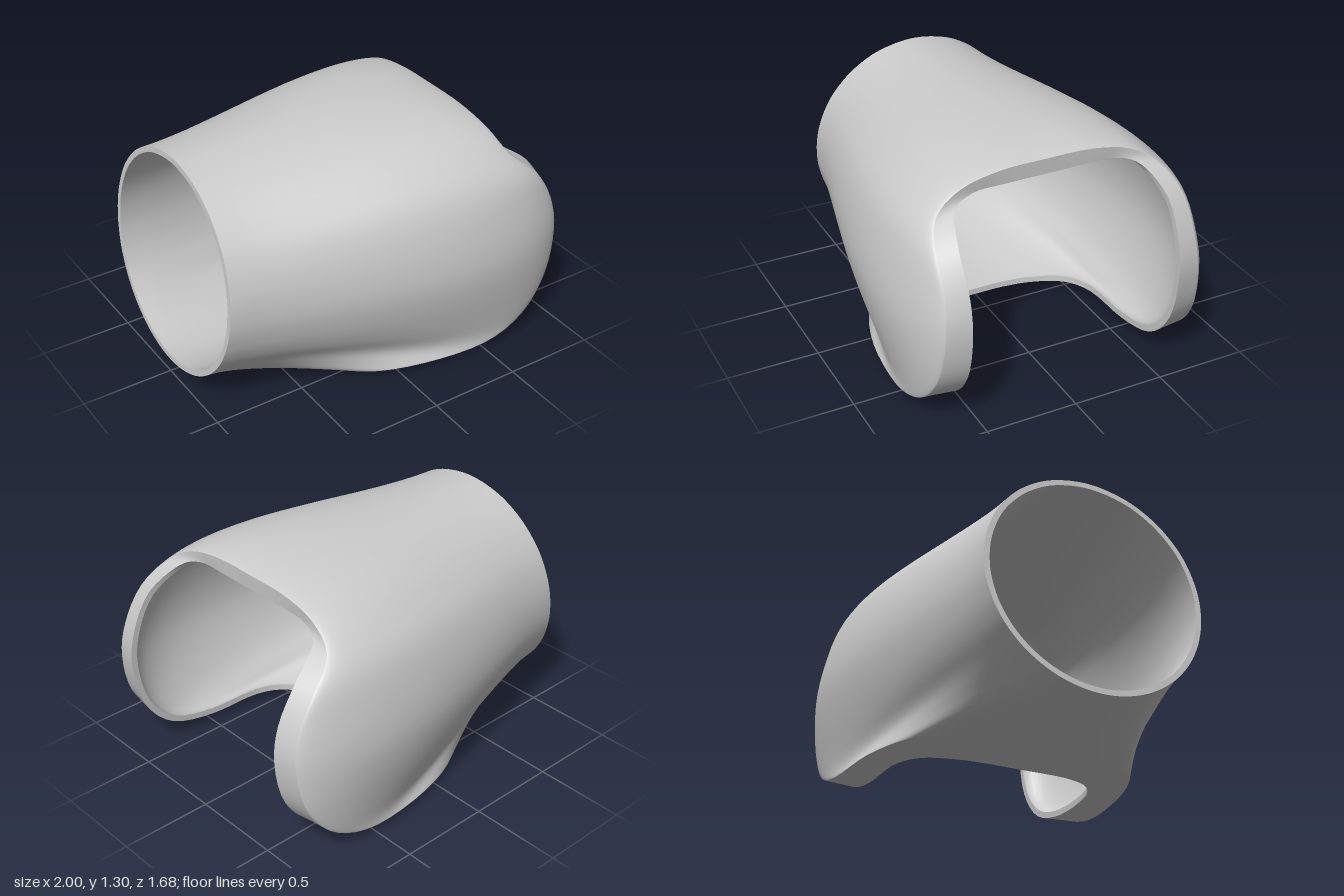
import * as THREE from 'three';

const V = (x, y, z) => new THREE.Vector3(x, y, z);
const AROUND = 112;
const rad = THREE.MathUtils.degToRad;

// Half outlines from top centre, down the +z side, to bottom centre
const rimOuterHalf = [
  [0.65, 1.23, 0], [0.65, 1.225, 0.25], [0.66, 1.18, 0.47], [0.70, 1.08, 0.62], [0.84, 0.95, 0.68],
  [0.945, 0.77, 0.69], [0.975, 0.57, 0.705], [0.92, 0.32, 0.725], [0.76, 0.13, 0.75], [0.5, 0.045, 0.765],
  [0.12, 0.045, 0.73], [-0.18, 0.045, 0.62], [-0.33, 0.04, 0.42], [-0.38, 0.035, 0.2], [-0.38, 0.035, 0]];
const rimInnerHalf = [
  [0.645, 1.145, 0], [0.645, 1.145, 0.22], [0.65, 1.14, 0.4], [0.70, 1.09, 0.52], [0.86, 0.97, 0.575],
  [0.97, 0.78, 0.575], [1, 0.57, 0.575], [0.94, 0.31, 0.575], [0.77, 0.12, 0.575], [0.5, 0.045, 0.575],
  [0.2, 0.045, 0.56], [0.03, 0.04, 0.48], [-0.08, 0.02, 0.33], [-0.13, 0.005, 0.17], [-0.14, 0, 0]];
// Direction in which the narrow lip runs inward from the rim
const lipAngle = [180, 180, 180, 200, 225, 205, 180, 150, 125, 95, 90, 90, 90, 90, 90];
const lipHalf = rimInnerHalf.map(([x, y, z], k) =>
  [x + 0.035 * Math.cos(rad(lipAngle[k])), y + 0.035 * Math.sin(rad(lipAngle[k])), z]);
// Per outline point: angle on the round cuff, swell of each wall, how late it flares and swells
const cuffAngle = [0, 20, 37, 52, 65, 80, 95, 108, 118, 127, 137, 148, 159, 170, 180];
const outerSwell = [0.4, 0.4, 0.4, 0.46, 0.7, 0.9, 1, 0.9, 0.65, 0.3, 0.15, 0.08, 0, 0, 0];
const innerSwell = [0.4, 0.4, 0.4, 0.45, 0.7, 0.9, 1, 0.95, 0.8, 0.55, 0.35, 0.2, 0.05, 0, 0];
const flareDelay = [1.3, 1.3, 1.3, 1.3, 1.3, 1.3, 1.3, 1.35, 1.4, 1.45, 1.5, 1.5, 1.4, 1.2, 1];
const swellDelay = [2, 2, 1.8, 1.6, 1.45, 1.4, 1.4, 1.4, 1.4, 1.4, 1.4, 1.4, 1.4, 1.4, 1.4];

// Mirror a half outline in z and sample it as a smooth closed loop
function loop(half) {
  const pts = half.map(p => V(...p));
  for (let k = half.length - 2; k > 0; k--) pts.push(V(half[k][0], half[k][1], -half[k][2]));
  const curve = new THREE.CatmullRomCurve3(pts, true, 'catmullrom', 0.5);
  return Array.from({ length: AROUND }, (_, i) => curve.getPoint(i / AROUND));
}

// Slightly tilted round end
function cuff(scale) {
  return loop(cuffAngle.map(deg => {
    const y = 0.675 + 0.595 * scale * Math.cos(rad(deg));
    return [-0.91 - 0.09 * (1.27 - y) / 1.19, y, 0.6 * scale * Math.sin(rad(deg))];
  }));
}

// Wall from cuff to rim that swells outward and curls in at the open end
function wall(from, to, swell, curl) {
  const half = swell.map((s, k) => [s, flareDelay[k], 0]);
  const shape = loop(half), late = loop(swellDelay.map(d => [d, 0, 0]));
  return (i, t) => {
    const p = from[i].clone().lerp(to[i], Math.pow(t, shape[i].y));
    p.x = THREE.MathUtils.lerp(from[i].x, to[i].x, t);
    const d = V(0, p.y - 0.62, p.z).normalize();
    if (d.y < 0) d.y *= 0.3;
    const bulge = 0.7 * Math.pow(t, late[i].x) * Math.pow(1 - t, curl);
    return p.addScaledVector(d, bulge * shape[i].x);
  };
}

// Surface closed around the sleeve: point(i, t) with t from 0 to 1
function strip(name, steps, point, material) {
  const pos = [], idx = [], row = steps + 1;
  for (let i = 0; i < AROUND; i++) {
    for (let j = 0; j <= steps; j++) pos.push(...point(i, j / steps).toArray());
    const n = ((i + 1) % AROUND) * row;
    for (let j = 0; j < steps; j++) {
      const a = i * row + j, b = n + j;
      idx.push(a, b, a + 1, b, b + 1, a + 1);
    }
  }
  const g = new THREE.BufferGeometry();
  g.setAttribute('position', new THREE.Float32BufferAttribute(pos, 3));
  g.setIndex(idx);
  g.computeVertexNormals();
  const mesh = new THREE.Mesh(g, material);
  mesh.name = name;
  return mesh;
}

export function createModel() {
  const group = new THREE.Group();
  group.name = 'flaredSleeve';
  const mat = new THREE.MeshStandardMaterial({ color: 0xcccccc, side: THREE.DoubleSide });

  const cuffOuter = cuff(1), cuffInner = cuff(0.95);
  const rimOuter = loop(rimOuterHalf), rimInner = loop(rimInnerHalf), lip = loop(lipHalf);
  const outer = wall(cuffOuter, rimOuter, outerSwell, 0.75);
  const inner = wall(cuffInner, lip, innerSwell, 0.55);

  // Denser rows near the rim, where the walls curl in
  const ease = t => 1 - (1 - t) ** 1.8;
  const flat = (from, to) => (i, t) => from[i].clone().lerp(to[i], t);

  group.add(
    strip('outerShell', 28, (i, t) => outer(i, ease(t)), mat),
    strip('openingRim', 3, flat(rimOuter, rimInner), mat),
    strip('openingLip', 1, flat(rimInner, lip), mat),
    strip('innerLining', 28, (i, t) => inner(i, ease(1 - t)), mat),
    strip('cuffEdge', 1, flat(cuffInner, cuffOuter), mat));
  return group;
}
